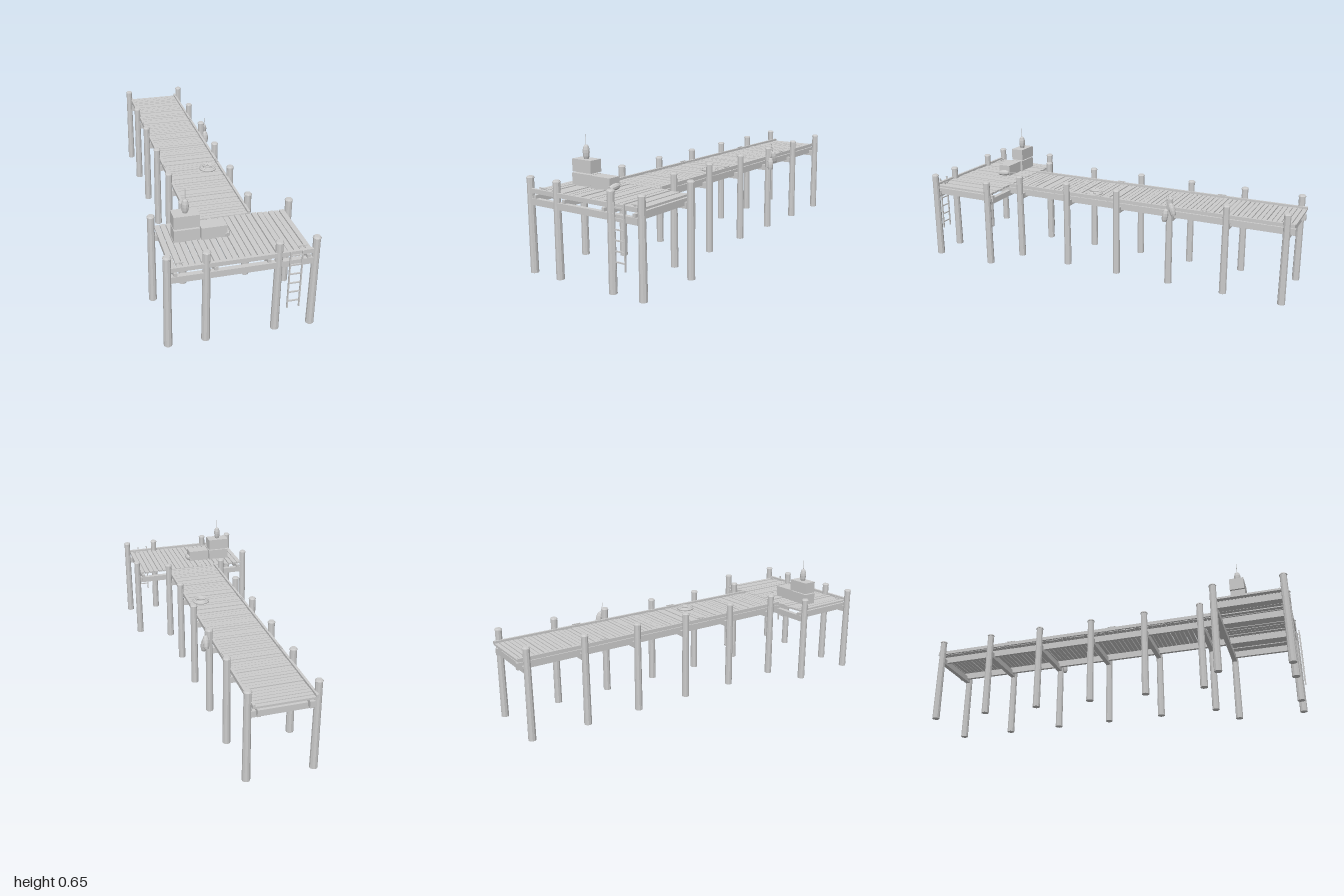
import * as THREE from 'three';

const mat = new THREE.MeshStandardMaterial({ color: 0xcccccc, flatShading: true });

export function createModel() {
  const root = new THREE.Group();
  root.name = 'pier';

  const add = (name, geo, x, y, z, parent = root) => {
    const m = new THREE.Mesh(geo, mat);
    m.name = name;
    m.position.set(x, y, z);
    parent.add(m);
    return m;
  };
  const box = (name, w, h, d, x, y, z, parent) =>
    add(name, new THREE.BoxGeometry(w, h, d), x, y, z, parent);
  const lathe = (pts, sides) =>
    new THREE.LatheGeometry(pts.map(([r, y]) => new THREE.Vector2(r, y)), sides);

  // small repeatable variation for the planks
  let seed = 7;
  const rand = () => (seed = (seed * 16807) % 2147483647) / 2147483647 - 0.5;

  // piles with chamfered caps
  const pileGeo = lathe([[0, 0], [0.0195, 0], [0.017, 0.458], [0.0195, 0.458],
    [0.0195, 0.461], [0.014, 0.468], [0, 0.468]], 10);
  const bays = [-0.965, -0.667, -0.37, -0.072, 0.225, 0.523];
  for (const s of [-1, 1]) {
    for (const z of bays) add('pile', pileGeo, s * 0.163, 0, z);
    for (const z of [0.622, 0.965]) add('platformPile', pileGeo, s * 0.335, 0, z);
    add('frontPile', pileGeo, s * 0.163, 0, 0.965);
  }

  // cross beams carrying the stringers
  for (const z of bays) box('crossBeam', 0.3, 0.031, 0.024, 0, 0.35, z);
  for (const z of [0.622, 0.965]) box('platformBeam', 0.64, 0.031, 0.024, 0, 0.35, z);
  for (const s of [-1, 1]) {
    box('stringer', 0.016, 0.034, 1.97, s * 0.12, 0.365, -0.015);
    box('platformStringer', 0.016, 0.034, 0.37, s * 0.3, 0.365, 0.79);
    box('walkwayCurb', 0.012, 0.018, 1.6, s * 0.145, 0.403, -0.2);
  }
  box('frontCurb', 0.64, 0.021, 0.014, 0, 0.4015, 0.972);

  // walkway planks lie across, platform planks run lengthwise
  const walkway = new THREE.Group();
  walkway.name = 'walkwayPlanks';
  const n = 66, pitch = 1.6 / n;
  for (let i = 0; i < n; i++) {
    box('plank', 0.284 + rand() * 0.008, 0.01, pitch - 0.004,
      rand() * 0.003, 0.396 + rand() * 0.003, -1 + (i + 0.5) * pitch, walkway);
  }
  const platform = new THREE.Group();
  platform.name = 'platformPlanks';
  const k = 23, step = 0.64 / k;
  for (let i = 0; i < k; i++) {
    box('plank', step - 0.004, 0.01, 0.364 + rand() * 0.006,
      -0.32 + (i + 0.5) * step, 0.396 + rand() * 0.004, 0.787, platform);
  }
  root.add(walkway, platform);

  // boarding ladder
  const ladder = new THREE.Group();
  ladder.name = 'ladder';
  for (const x of [0.206, 0.262]) box('ladderRail', 0.006, 0.296, 0.007, x, 0.273, 0.993, ladder);
  for (let i = 0; i < 6; i++) box('rung', 0.056, 0.006, 0.006, 0.234, 0.161 + i * 0.048, 0.993, ladder);
  root.add(ladder);

  // stacked crates
  box('lowerCrate', 0.12, 0.06, 0.072, -0.2, 0.43, 0.735);
  box('upperCrate', 0.12, 0.062, 0.072, -0.2, 0.497, 0.732);
  box('sideCrate', 0.12, 0.06, 0.068, -0.075, 0.43, 0.742);

  // marker buoys: faceted float on a thin stick
  const floatGeo = lathe([[0, 0], [0.011, 0], [0.015, 0.012], [0.017, 0.03],
    [0.0165, 0.045], [0.012, 0.061], [0.006, 0.067], [0, 0.067]], 10);
  const stickGeo = new THREE.CylinderGeometry(0.0015, 0.0015, 0.056, 6);
  const buoy = (x, y, z, rx = 0, rz = 0) => {
    const g = new THREE.Group();
    g.name = 'buoy';
    add('float', floatGeo, 0, 0, 0, g);
    add('stick', stickGeo, 0, 0.09, 0, g);
    g.position.set(x, y, z);
    g.rotation.set(rx, 0, rz);
    root.add(g);
  };
  buoy(-0.2, 0.528, 0.732);
  buoy(-0.014, 0.411, 0.778, -Math.PI / 2 + 0.12);
  buoy(0.187, 0.343, -0.352, -0.12, 0.04);
  buoy(0.186, 0.378, -0.402, 0.3, 0.02);

  // rope coil on the walkway
  for (const [r, y] of [[0.04, 0.405], [0.03, 0.405], [0.035, 0.411]]) {
    add('ropeCoil', new THREE.TorusGeometry(r, 0.006, 8, 28), 0.078, y, 0.098).rotation.x = Math.PI / 2;
  }

  // mooring cleats
  const cleat = (x, y, z, turn) => {
    const g = new THREE.Group();
    g.name = 'cleat';
    box('cleatBar', 0.045, 0.004, 0.006, 0, 0.009, 0, g);
    for (const s of [-1, 1]) box('cleatFoot', 0.006, 0.008, 0.006, s * 0.009, 0.004, 0, g);
    g.position.set(x, y, z);
    g.rotation.y = turn;
    root.add(g);
  };
  for (const s of [-1, 1]) {
    cleat(s * 0.28, 0.402, 0.94, 0);
    for (const z of [0.04, -0.55]) cleat(s * 0.145, 0.407, z, Math.PI / 2);
  }

  return root;
}
